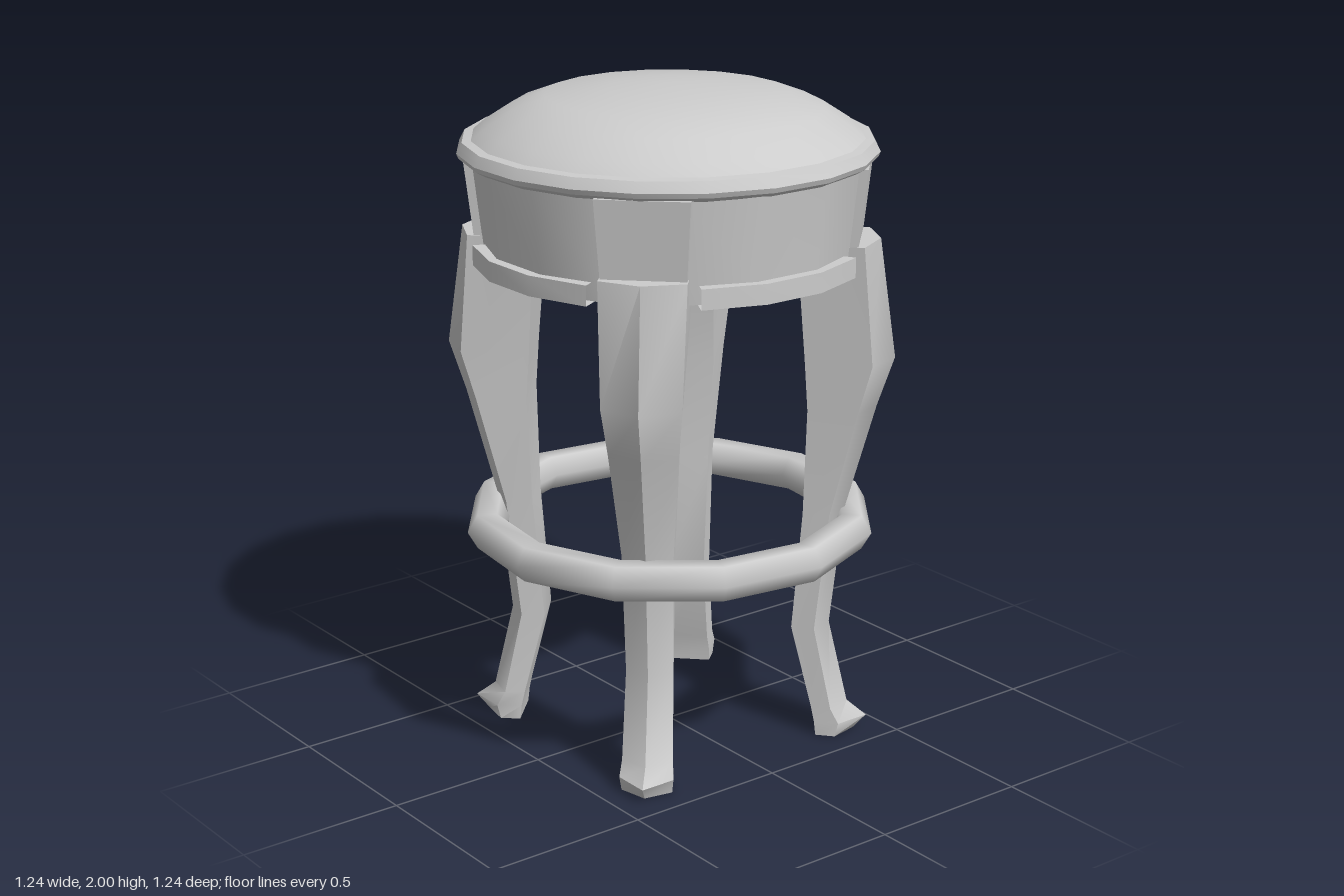
import * as THREE from 'three';
import { toCreasedNormals } from 'three/addons/utils/BufferGeometryUtils.js';

const material = new THREE.MeshStandardMaterial({ color: 0xcccccc });
const doubleSided = new THREE.MeshStandardMaterial({ color: 0xcccccc, side: THREE.DoubleSide });
const rad = THREE.MathUtils.degToRad;

function part(name, geometry, mat = material) {
  const mesh = new THREE.Mesh(geometry, mat);
  mesh.name = name;
  return mesh;
}

function lathe(profile, segments, start = 0, length = Math.PI * 2) {
  return new THREE.LatheGeometry(profile.map(([r, y]) => new THREE.Vector2(r, y)), segments, start, length);
}

// Closed loft through rings of [x, y, z] points, listed bottom to top, anticlockwise from above
function loft(rings, crease) {
  const n = rings[0].length;
  const top = (rings.length - 1) * n;
  const index = [];
  for (let j = 0; j < rings.length - 1; j++) {
    for (let i = 0; i < n; i++) {
      const a = j * n + i;
      const b = j * n + (i + 1) % n;
      index.push(a, b, b + n, a, b + n, a + n);
    }
  }
  for (let i = 1; i < n - 1; i++) {
    index.push(0, i + 1, i, top, top + i, top + i + 1);
  }
  const geometry = new THREE.BufferGeometry();
  geometry.setAttribute('position', new THREE.Float32BufferAttribute(rings.flat(2), 3));
  geometry.setIndex(index);
  return toCreasedNormals(geometry, rad(crease));
}

// Leg stations: height, ridge radius, side radius, side half width, back radius, back half width
const legStations = [
  [0.00, 0.57, 0.52, 0.075, 0.46, 0.07],
  [0.045, 0.61, 0.53, 0.08, 0.455, 0.07],
  [0.09, 0.55, 0.505, 0.075, 0.445, 0.065],
  [0.35, 0.49, 0.45, 0.07, 0.38, 0.06],
  [0.72, 0.53, 0.49, 0.075, 0.41, 0.07],
  [1.05, 0.62, 0.57, 0.10, 0.42, 0.085],
  [1.20, 0.67, 0.61, 0.115, 0.41, 0.085],
  [1.56, 0.62, 0.58, 0.125, 0.385, 0.12],
];

function legGeometry(crease) {
  return loft(legStations.map(([y, ridge, side, sideW, back, backW]) => [
    [0, y, ridge], [sideW, y, side], [backW, y, back], [-backW, y, back], [-sideW, y, side],
  ]), crease);
}

export function createModel() {
  const stool = new THREE.Group();
  stool.name = 'stool';

  // Domed cushion with a thin rim
  const cushion = lathe([
    [0, 1.785], [0.585, 1.785], [0.612, 1.80], [0.618, 1.815], [0.602, 1.846], [0.575, 1.85],
    [0.54, 1.88], [0.46, 1.932], [0.36, 1.97], [0.18, 1.987], [0, 2.0],
  ], 20, Math.PI / 20);
  const seat = part('seatCushion', toCreasedNormals(cushion, rad(32)));
  seat.position.z = -0.008;
  stool.add(seat);

  // Tapered apron, closed underneath
  const apron = lathe([[0, 1.485], [0.545, 1.485], [0.55, 1.54], [0.58, 1.79]], 16, Math.PI / 16);
  stool.add(part('apron', toCreasedNormals(apron, rad(35))));

  // Apron trim between the legs, and a leg with its upper panel at each corner
  const trim = toCreasedNormals(lathe([
    [0.5, 1.48], [0.58, 1.48], [0.58, 1.54], [0.5, 1.54],
  ], 3, rad(-29), rad(58)), rad(35));
  const panel = loft([[1.5, 0.555, 0.118], [1.79, 0.586, 0.134]].map(([y, r, w]) => [
    [w, y, r], [w, y, 0.4], [-w, y, 0.4], [-w, y, r],
  ]), 30);
  const smoothLeg = legGeometry(62);
  const creasedLeg = legGeometry(40);
  for (let k = 0; k < 4; k++) {
    const band = part('apronTrim', trim, doubleSided);
    band.rotation.y = k * Math.PI / 2;
    const corner = new THREE.Group();
    corner.name = 'legCorner';
    corner.rotation.y = (k + 0.5) * Math.PI / 2;
    corner.add(part('leg', k % 2 ? creasedLeg : smoothLeg), part('legPanel', panel));
    stool.add(band, corner);
  }

  // Twelve-sided foot ring
  const ring = new THREE.TorusGeometry(0.563, 0.06, 6, 12);
  ring.rotateX(Math.PI / 2);
  ring.rotateY(rad(7.3));
  const footRing = part('footRing', ring);
  footRing.position.y = 0.674;
  stool.add(footRing);

  return stool;
}
